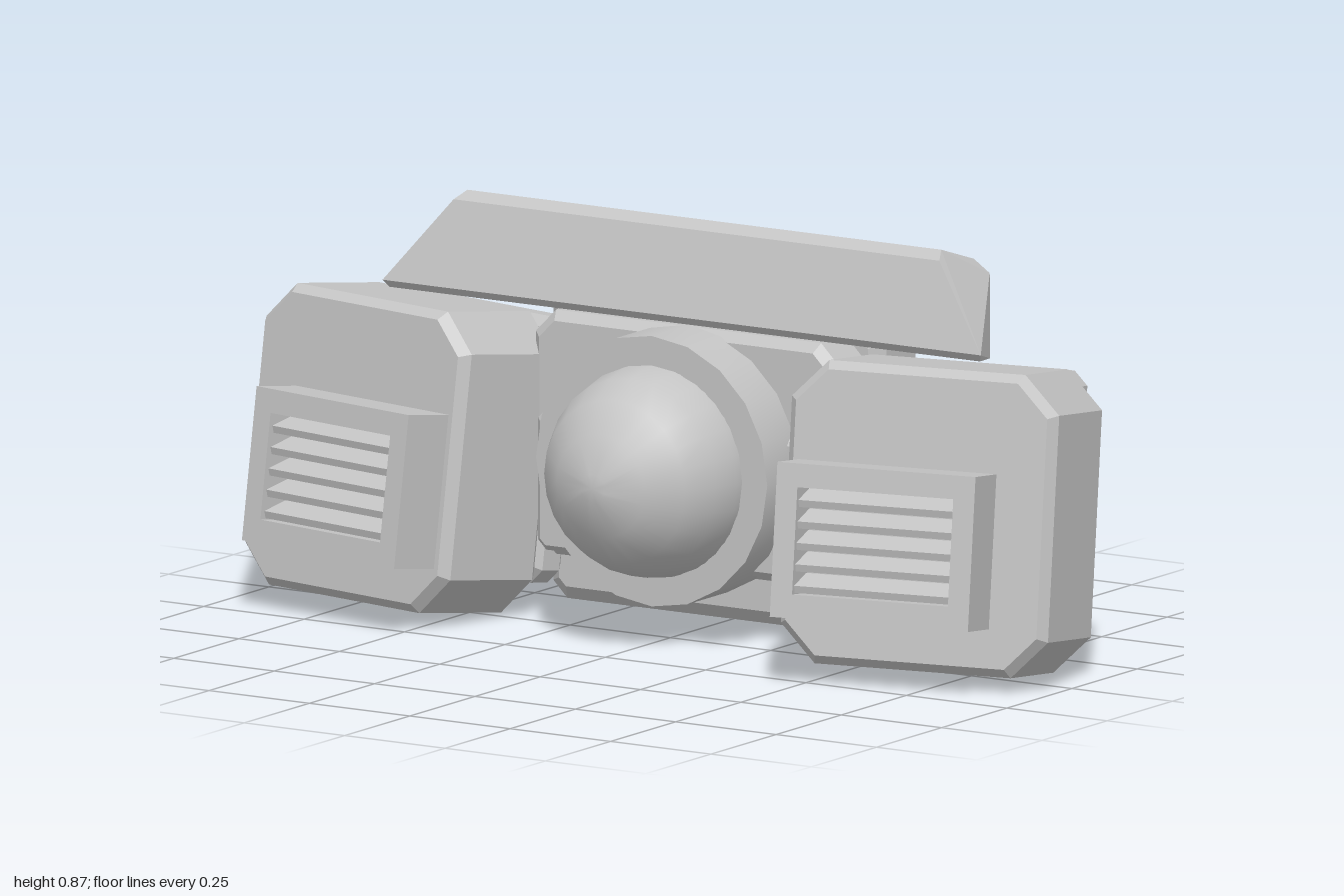
import * as THREE from 'three';
import { toCreasedNormals } from 'three/addons/utils/BufferGeometryUtils.js';
import { ConvexGeometry } from 'three/addons/geometries/ConvexGeometry.js';

const grey = new THREE.MeshStandardMaterial({ color: 0xc4c4c4 });
grey.name = 'grey';

function add(parent, name, geometry, x = 0, y = 0, z = 0) {
  const mesh = new THREE.Mesh(geometry, grey);
  mesh.name = name;
  mesh.position.set(x, y, z);
  parent.add(mesh);
  return mesh;
}

// Centred slab with cut corners in outline and a bevel on its front and back rims
function slab(w, h, d, cut, bevel, bevelDepth) {
  const a = w / 2, b = h / 2;
  const shape = new THREE.Shape([
    [-a + cut, -b], [a - cut, -b], [a, -b + cut], [a, b - cut],
    [a - cut, b], [-a + cut, b], [-a, b - cut], [-a, -b + cut],
  ].map(([x, y]) => new THREE.Vector2(x, y)));
  return new THREE.ExtrudeGeometry(shape, {
    depth: d - 2 * bevelDepth, bevelEnabled: true, bevelSegments: 1,
    bevelThickness: bevelDepth, bevelSize: bevel, bevelOffset: -bevel,
  }).translate(0, 0, -d / 2 + bevelDepth);
}

function rectangle(PathType, w, h) {
  const p = new PathType();
  p.moveTo(-w / 2, -h / 2);
  p.lineTo(w / 2, -h / 2);
  p.lineTo(w / 2, h / 2);
  p.lineTo(-w / 2, h / 2);
  p.closePath();
  return p;
}

// Round part turned about the z axis from [radius, z] points
function turned(points, sides, crease) {
  const g = new THREE.LatheGeometry(points.map(([r, z]) => new THREE.Vector2(r, z)), sides);
  return toCreasedNormals(g.rotateX(Math.PI / 2), crease);
}

function createPod(side) {
  const pod = new THREE.Group();
  pod.name = side > 0 ? 'leftPod' : 'rightPod';
  pod.position.set(side * 0.675, 0.335, 0);
  pod.rotation.set(-0.135, side * 0.2, 0, 'YXZ');

  add(pod, 'podShell', slab(0.6, 0.636, 0.29, 0.08, 0.018, 0.022));

  // Louvred vent on the front
  const vent = new THREE.Group();
  vent.name = 'vent';
  vent.position.set(-side * 0.048, -0.055, 0.14);
  pod.add(vent);
  const frame = rectangle(THREE.Shape, 0.445, 0.325);
  frame.holes.push(rectangle(THREE.Path, 0.35, 0.225));
  add(vent, 'ventFrame', new THREE.ExtrudeGeometry(frame, { depth: 0.125, bevelEnabled: false }));
  add(vent, 'ventBack', new THREE.BoxGeometry(0.36, 0.235, 0.04), 0, 0, 0.025);
  for (let i = 0; i < 5; i++) {
    const slat = add(vent, 'ventSlat', new THREE.BoxGeometry(0.352, 0.016, 0.07), 0, -0.09 + i * 0.045, 0.08);
    slat.rotation.x = 0.35;
  }

  // Rear cover plate with a hex bolt
  add(pod, 'rearPlate', slab(0.52, 0.56, 0.1, 0.03, 0.022, 0.025), -side * 0.03, 0.03, -0.187);
  add(pod, 'boltWasher', turned([[0, -0.02], [0.048, -0.02], [0.048, 0.008], [0, 0.008]].reverse().map(([r, z]) => [r, z]).reverse(), 12, 0.6), side * 0.15, -0.15, -0.235);
  add(pod, 'boltHead', turned([[0, -0.018], [0.034, -0.018], [0.034, 0.01], [0, 0.01]], 6, 0.3), side * 0.15, -0.15, -0.248);
  return pod;
}

export function createModel() {
  const model = new THREE.Group();
  model.name = 'lampUnit';

  for (const side of [-1, 1]) model.add(createPod(side));

  // Central body and rear housing
  add(model, 'rearHousing', slab(0.83, 0.665, 0.16, 0.035, 0.03, 0.025), 0, 0.348, -0.245);
  add(model, 'body', slab(0.76, 0.52, 0.16, 0.05, 0.02, 0.02), 0, 0.395, -0.13);
  add(model, 'bodyRib', slab(0.7, 0.3, 0.06, 0.02, 0.012, 0.012), 0, 0.3, -0.05);

  // Round lens in its collar
  add(model, 'lensCollar', turned([[0, -0.08], [0.288, -0.08], [0.288, 0.072], [0.225, 0.072]], 20, 0.5), 0, 0.37, 0);
  add(model, 'lensDome', turned([
    [0.226, 0.06], [0.224, 0.09], [0.21, 0.15], [0.175, 0.215],
    [0.11, 0.268], [0.03, 0.298], [0, 0.3],
  ], 24, 0.7), 0, 0.37, 0);

  // Leaning top bar, [half width, y, z] around its section
  const section = [
    [0.745, 0.678, -0.043], [0.605, 0.855, -0.1], [0.59, 0.872, -0.13],
    [0.59, 0.832, -0.255], [0.62, 0.802, -0.27], [0.66, 0.635, -0.21], [0.735, 0.662, -0.055],
  ];
  const corners = section.flatMap(([x, y, z]) => [new THREE.Vector3(x, y, z), new THREE.Vector3(-x, y, z)]);
  add(model, 'topBar', new ConvexGeometry(corners));

  return model;
}
